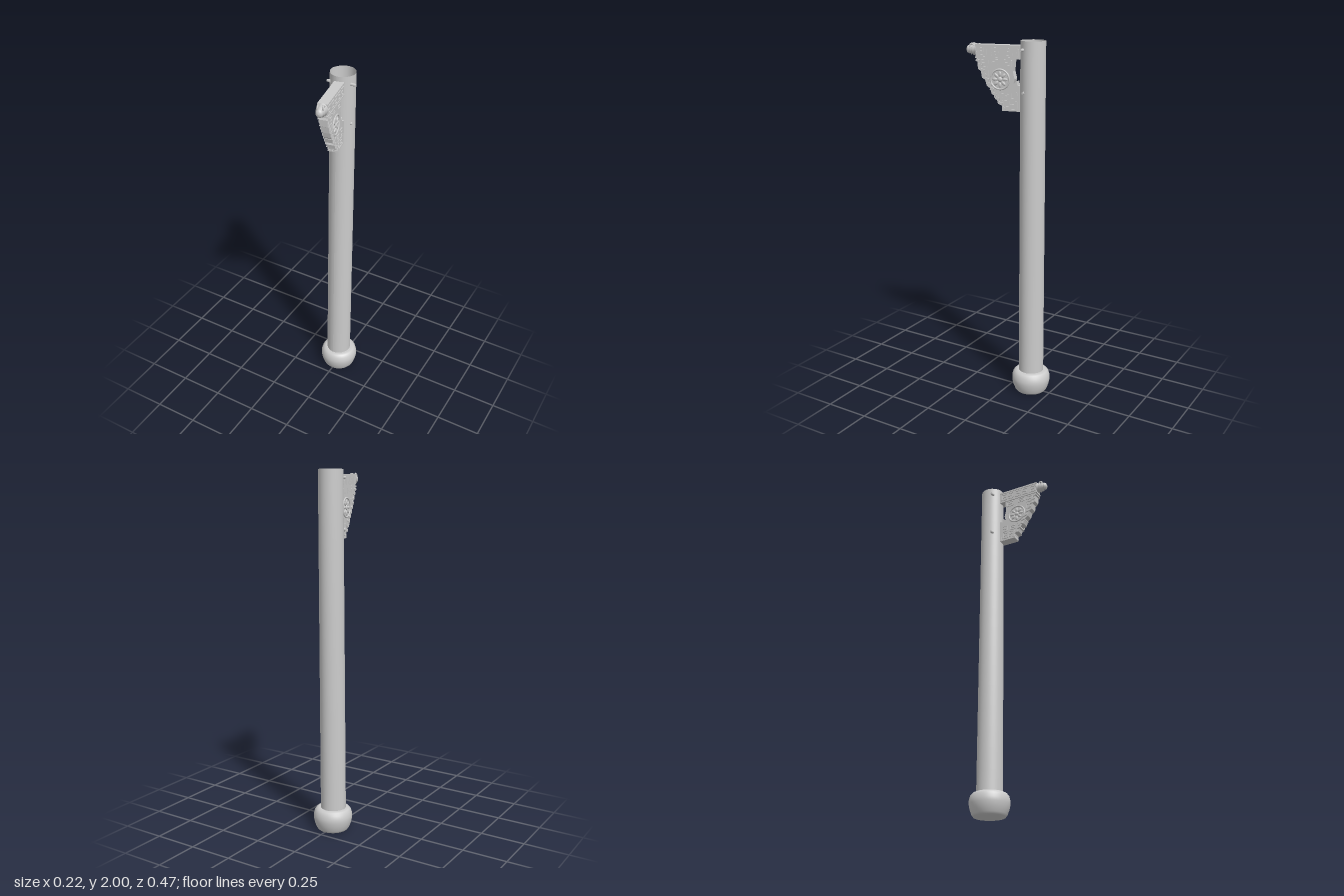
import * as THREE from 'three';

const mat = new THREE.MeshStandardMaterial({ color: 0xcccccc });
const matDouble = new THREE.MeshStandardMaterial({ color: 0xcccccc, side: THREE.DoubleSide });

function add(parent, name, geometry, x = 0, y = 0, z = 0, material = mat) {
  const mesh = new THREE.Mesh(geometry, material);
  mesh.name = name;
  mesh.position.set(x, y, z);
  parent.add(mesh);
  return mesh;
}

// Extrudes a (distance, height) outline across the bracket's thickness
function slab(points, thickness) {
  const shape = new THREE.Shape(points.map(p => new THREE.Vector2(...p)));
  const g = new THREE.ExtrudeGeometry(shape, { depth: thickness, bevelEnabled: false });
  g.translate(0, 0, -thickness / 2);
  return g.rotateY(-Math.PI / 2);
}

// Raised square hook on both faces of the bracket
function fret(parent, d, y, w, h, face, flip = 1) {
  const t = 0.007;
  const bars = [
    [0, h / 2, w, t], [-w / 2, 0, t, h], [0, -h / 2, w, t],
    [w / 2, -h / 4, t, h / 2], [w / 8, 0, w * 0.75, t],
  ];
  for (const side of [-1, 1]) {
    for (const [bd, by, bw, bh] of bars) {
      add(parent, 'fretBar', new THREE.BoxGeometry(0.006, bh, bw), side * face, y + by * flip, d + bd * flip);
    }
  }
}

function createColumn() {
  const column = new THREE.Group();
  column.name = 'column';

  // Rounded drum foot
  const profile = [[0, 0], [0.085, 0], [0.094, 0.012], [0.104, 0.04], [0.109, 0.065], [0.109, 0.085],
    [0.103, 0.108], [0.092, 0.121], [0.078, 0.127], [0, 0.127]];
  add(column, 'foot', new THREE.LatheGeometry(profile.map(p => new THREE.Vector2(...p)), 48), 0, 0, -0.127);

  // Hollow, slightly leaning and uneven shaft
  const shaft = new THREE.CylinderGeometry(0.067, 0.0715, 1.88, 48, 16, true);
  const pos = shaft.attributes.position;
  for (let i = 0; i < pos.count; i++) {
    const x = pos.getX(i), z = pos.getZ(i), t = pos.getY(i) / 1.88 + 0.5;
    const k = 1 + 0.012 * Math.cos(4 * Math.atan2(z, x));
    pos.setX(i, x * k - 0.002 + 0.008 * t);
    pos.setZ(i, z * k - 0.126 - 0.004 * t);
  }
  shaft.computeVertexNormals();
  add(column, 'shaft', shaft, 0, 1.06, 0, matDouble);

  // Small pegs near the top
  for (const [x, y, z, length] of [[0.078, 1.955, -0.105, 0.03], [0.07, 1.735, -0.108, 0.014],
    [-0.05, 1.955, -0.085, 0.02], [-0.052, 1.685, -0.085, 0.02]]) {
    const peg = add(column, 'peg', new THREE.CylinderGeometry(0.007, 0.009, length, 8), x, y, z);
    peg.rotation.z = -Math.sign(x) * Math.PI / 2;
  }
  return column;
}

function createBracket() {
  const bracket = new THREE.Group();
  bracket.name = 'bracket';
  bracket.position.set(0.02, 0, -0.067);
  bracket.rotation.y = 0.19;

  // Top beam with raised borders
  add(bracket, 'beam', new THREE.BoxGeometry(0.046, 0.068, 0.247), 0, 1.937, 0.1235);
  add(bracket, 'beamTop', new THREE.BoxGeometry(0.053, 0.01, 0.25), 0, 1.969, 0.125);
  add(bracket, 'beamBottom', new THREE.BoxGeometry(0.053, 0.008, 0.25), 0, 1.906, 0.125);
  for (let i = 0; i < 5; i++) fret(bracket, 0.028 + i * 0.048, 1.937, 0.034, 0.036, 0.024, i % 2 ? -1 : 1);

  // Stepped panel below the beam, leaving a gap beside the column
  const steps = [[0.098, 1.635], [0.103, 1.66], [0.124, 1.668], [0.134, 1.705], [0.158, 1.715],
    [0.168, 1.745], [0.187, 1.76], [0.196, 1.79], [0.214, 1.8], [0.22, 1.835], [0.236, 1.845], [0.241, 1.905]];
  add(bracket, 'panel', slab([[0, 1.63], ...steps, [0.034, 1.905], [0.04, 1.84], [0.03, 1.8],
    [0.036, 1.775], [0.018, 1.79], [0.014, 1.765], [0, 1.765]], 0.042));

  // Ribs across the stepped front edge
  for (let i = 0; i < 11; i++) {
    const t = i / 10;
    const y = 1.645 + 0.245 * t;
    const d = 0.088 + 0.147 * Math.pow(t, 0.85);
    const rib = add(bracket, 'edgeRib', new THREE.BoxGeometry(0.054, 0.013, 0.022), 0, y, d);
    rib.rotation.x = -0.3;
  }
  add(bracket, 'lowerBorder', new THREE.BoxGeometry(0.052, 0.009, 0.1), 0, 1.635, 0.05);
  add(bracket, 'columnBorder', new THREE.BoxGeometry(0.052, 0.135, 0.01), 0, 1.698, 0.005);

  // Fretwork around the medallion
  for (const [d, y, w, h, flip] of [[0.035, 1.665, 0.034, 0.034, 1], [0.078, 1.667, 0.03, 0.034, -1],
    [0.033, 1.712, 0.03, 0.036, -1], [0.068, 1.88, 0.04, 0.03, 1], [0.2, 1.875, 0.04, 0.036, -1],
    [0.19, 1.825, 0.024, 0.03, 1], [0.142, 1.885, 0.04, 0.022, 1], [0.128, 1.712, 0.026, 0.026, 1],
    [0.084, 1.708, 0.034, 0.024, 1]]) {
    fret(bracket, d, y, w, h, 0.022, flip);
  }

  // Round medallion with petals on each face
  for (const side of [-1, 1]) {
    const medallion = new THREE.Group();
    medallion.name = 'medallion';
    medallion.position.set(side * 0.021, 1.795, 0.112);
    medallion.rotation.y = side * Math.PI / 2;
    bracket.add(medallion);
    add(medallion, 'medallionRim', new THREE.TorusGeometry(0.052, 0.005, 8, 32));
    const heart = add(medallion, 'flowerHeart', new THREE.SphereGeometry(0.013, 12, 8));
    heart.scale.z = 0.5;
    for (let i = 0; i < 8; i++) {
      const a = i * Math.PI / 4;
      const petal = add(medallion, 'petal', new THREE.SphereGeometry(0.015, 10, 6),
        0.029 * Math.cos(a), 0.029 * Math.sin(a), 0);
      petal.scale.set(1, 0.55, 0.35);
      petal.rotation.z = a;
    }
  }

  // Carved finial at the beam's end
  const finial = [[0, 0], [0.024, 0], [0.029, 0.006], [0.02, 0.013], [0.028, 0.02], [0.019, 0.028],
    [0.025, 0.035], [0.017, 0.042], [0.02, 0.048], [0.016, 0.057], [0.008, 0.062], [0, 0.063]];
  const knob = add(bracket, 'finial',
    new THREE.LatheGeometry(finial.map(p => new THREE.Vector2(...p)), 16), 0, 1.945, 0.244);
  knob.rotation.x = Math.PI / 2;
  knob.scale.z = 1.15;
  for (const x of [-0.014, 0.014]) {
    const curl = add(bracket, 'finialCurl', new THREE.TorusGeometry(0.01, 0.005, 6, 12), x, 1.965, 0.272);
    curl.rotation.y = Math.PI / 2;
  }
  return bracket;
}

export function createModel() {
  const model = new THREE.Group();
  model.name = 'columnWithBracket';
  model.add(createColumn(), createBracket());
  return model;
}
